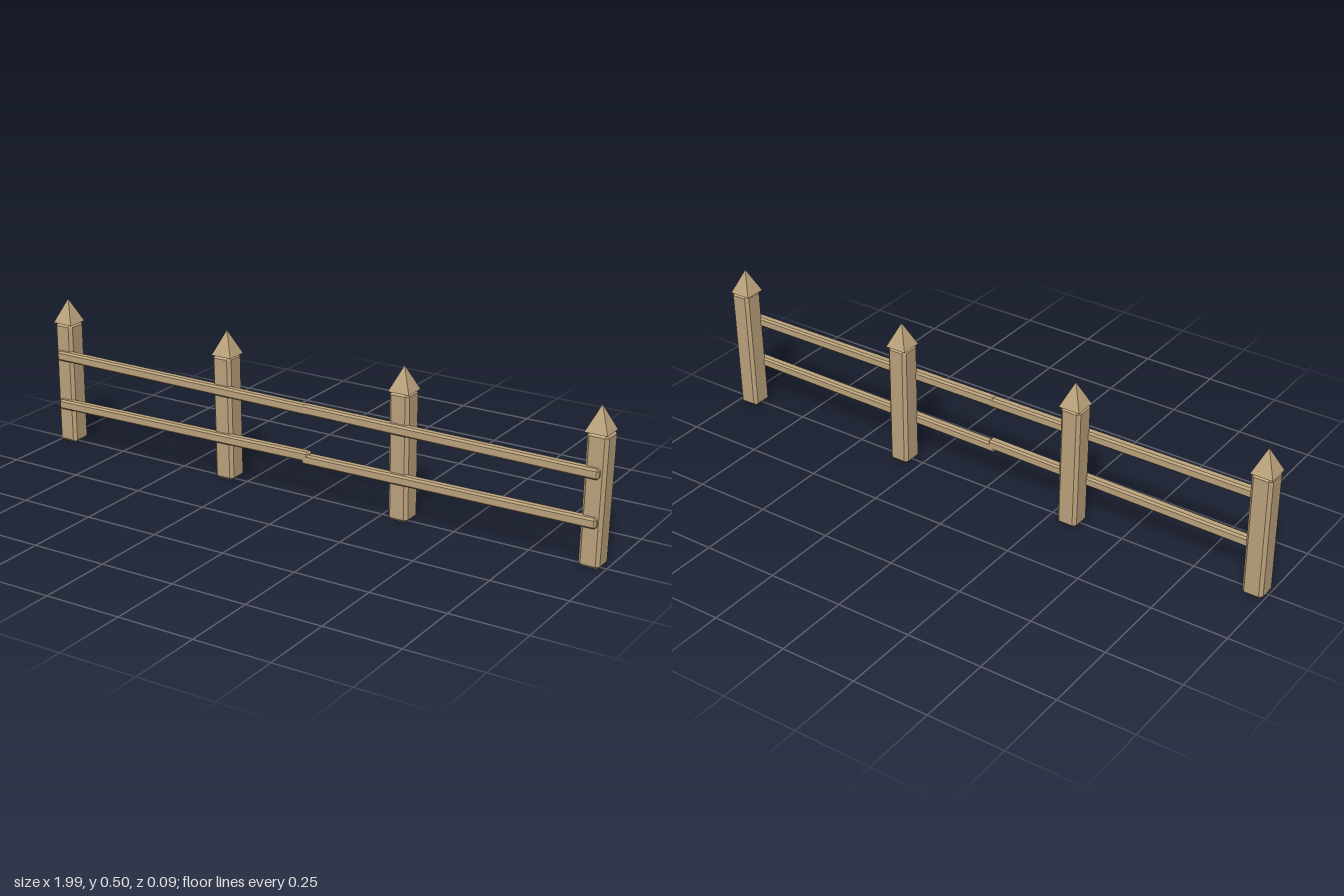
import * as THREE from 'three';
import { ConvexGeometry } from 'three/addons/geometries/ConvexGeometry.js';

// Box with every edge and corner chamfered by b
function chamferBox(w, h, d, b) {
  const x = w / 2, y = h / 2, z = d / 2, points = [];
  for (const sx of [-1, 1]) for (const sy of [-1, 1]) for (const sz of [-1, 1]) {
    points.push(
      new THREE.Vector3(sx * x, sy * (y - b), sz * (z - b)),
      new THREE.Vector3(sx * (x - b), sy * y, sz * (z - b)),
      new THREE.Vector3(sx * (x - b), sy * (y - b), sz * z));
  }
  return new ConvexGeometry(points);
}

export function createModel() {
  const fence = new THREE.Group();
  fence.name = 'fence';
  const wood = new THREE.MeshStandardMaterial({ color: 0xbca47d, flatShading: true });
  wood.name = 'weathered wood';

  const add = (parent, name, geometry, x, y, z) => {
    const mesh = new THREE.Mesh(geometry, wood);
    mesh.name = name;
    mesh.position.set(x, y, z);
    parent.add(mesh);
    return mesh;
  };

  // Posts: chamfered shaft with a four-sided pointed cap, some leaning a little
  const postGeometry = chamferBox(0.068, 0.417, 0.071, 0.01);
  const capGeometry = new THREE.ConeGeometry(0.036 * Math.SQRT2, 0.08, 4).rotateY(Math.PI / 4);
  const posts = [[-0.963, 0], [-0.325, 0.012], [0.317, 0.004], [0.956, -0.02]];
  posts.forEach(([x, lean], i) => {
    const post = new THREE.Group();
    post.name = `post${i + 1}`;
    post.position.set(x, 0, -0.006);
    const shaft = add(post, 'postShaft', postGeometry, 0, 0.2085, 0);
    shaft.rotation.z = lean;
    add(post, 'postCap', capGeometry, 0, 0.455, 0);
    fence.add(post);
  });

  // Rails: two slightly sloping lengths per row, overlapping near the middle
  const rails = [
    ['upperRailRight', -0.98, 0.307, 0.005, 0.303],
    ['upperRailLeft', -0.015, 0.304, 0.976, 0.299],
    ['lowerRailRight', -0.98, 0.136, 0.006, 0.149],
    ['lowerRailLeft', -0.018, 0.14, 0.976, 0.148],
  ];
  for (const [name, x0, y0, x1, y1] of rails) {
    const length = Math.hypot(x1 - x0, y1 - y0);
    const rail = add(fence, name, chamferBox(length, 0.033, 0.03, 0.006),
      (x0 + x1) / 2, (y0 + y1) / 2, 0.03);
    rail.rotation.z = Math.atan2(y1 - y0, x1 - x0);
  }
  return fence;
}
